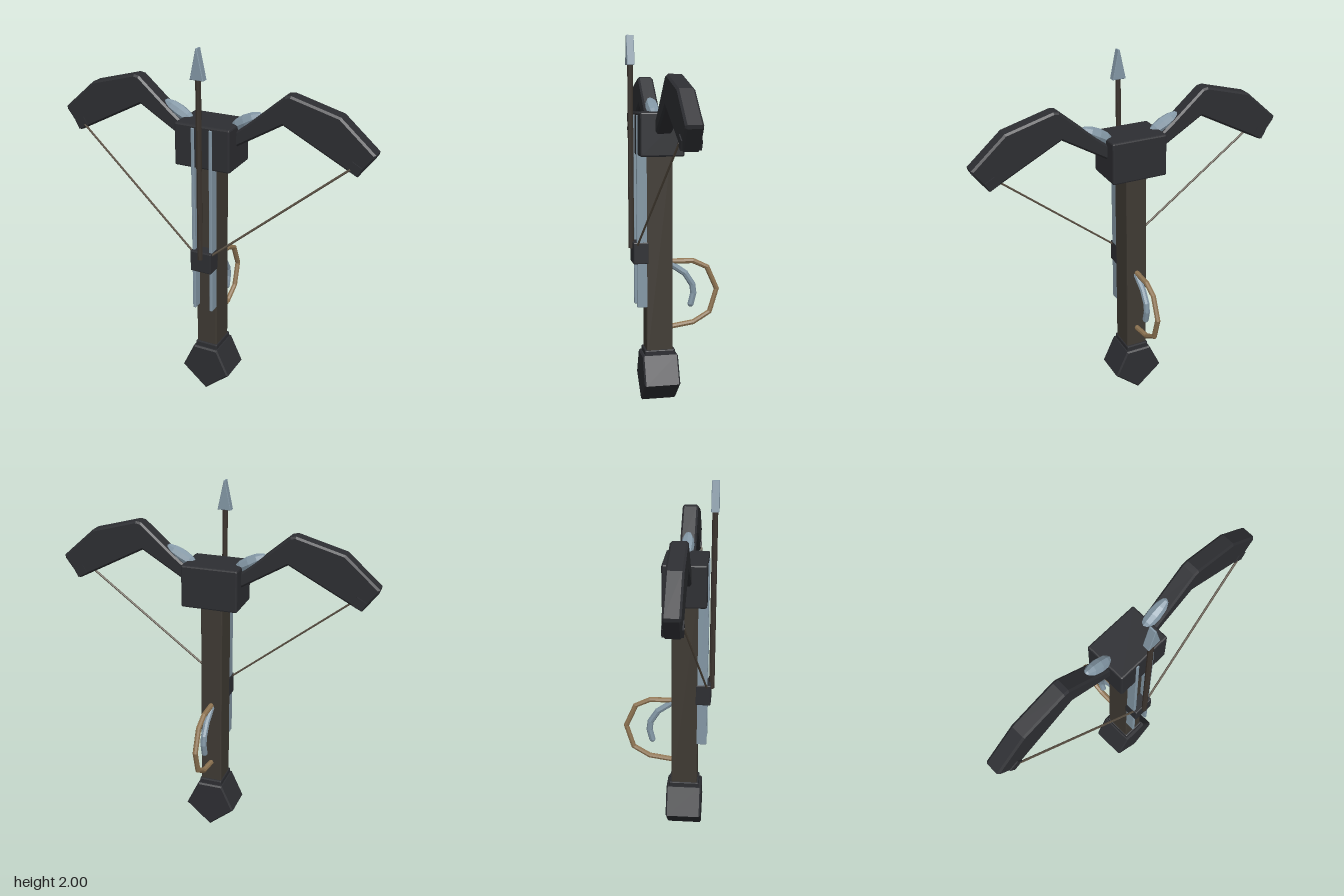
import * as THREE from 'three';
import { RoundedBoxGeometry } from 'three/addons/geometries/RoundedBoxGeometry.js';

const mat = (color) => new THREE.MeshStandardMaterial({ color, flatShading: true });

// Curve with straight segments, sampled exactly at its corner points
class Polyline extends THREE.Curve {
  constructor(points) {
    super();
    this.points = points;
  }
  getPoint(t, target = new THREE.Vector3()) {
    const f = t * (this.points.length - 1);
    const i = Math.min(Math.floor(f), this.points.length - 2);
    return target.lerpVectors(this.points[i], this.points[i + 1], f - i);
  }
  getPointAt(u, target) { return this.getPoint(u, target); }
  getTangentAt(u, target) { return this.getTangent(u, target); }
}

export function createModel() {
  const group = new THREE.Group();
  const dark = mat(0x2d2e32);
  const wood = mat(0x3f3a33);
  const metal = mat(0x8397a5);
  const tan = mat(0x8f7553);
  const cord = mat(0x5c5245);
  const shaftWood = mat(0x3b342e);

  const add = (name, geometry, material, x = 0, y = 0, z = 0) => {
    const mesh = new THREE.Mesh(geometry, material);
    mesh.name = name;
    mesh.position.set(x, y, z);
    group.add(mesh);
    return mesh;
  };

  // Box given by its width and its y and z ranges, with a small bevel
  const block = (name, material, w, y0, y1, z0, z1, x = 0, bevel = 0.006) =>
    add(name, new RoundedBoxGeometry(w, y1 - y0, z1 - z0, 1, bevel), material,
      x, (y0 + y1) / 2, (z0 + z1) / 2);

  // Bevelled outline spanning z0..z1; the bevel stays inside the outline
  const slab = (points, z0, z1, bevel) => {
    const shape = new THREE.Shape(points.map(([x, y]) => new THREE.Vector2(x, y)));
    const g = new THREE.ExtrudeGeometry(shape, {
      depth: z1 - z0 - 2 * bevel, bevelEnabled: true, bevelSegments: 1,
      bevelSize: bevel, bevelThickness: bevel, bevelOffset: -bevel,
    });
    return g.translate(0, 0, z0 + bevel);
  };

  // Round bar through [z, y] points in the middle plane, with closed ends
  const bar = (name, material, zy, radius) => {
    const pts = zy.map(([z, y]) => new THREE.Vector3(0, y, z));
    add(name, new THREE.TubeGeometry(new Polyline(pts), pts.length - 1, radius, 8), material);
    for (const p of [pts[0], pts[pts.length - 1]]) {
      add(name + 'End', new THREE.SphereGeometry(radius, 8, 6), material, p.x, p.y, p.z);
    }
  };

  // Straight rod between two points
  const rod = (name, material, a, b, radius) => {
    const from = new THREE.Vector3(...a);
    const dir = new THREE.Vector3(...b).sub(from);
    const mesh = add(name, new THREE.CylinderGeometry(radius, radius, dir.length(), 6), material);
    mesh.position.copy(from).addScaledVector(dir, 0.5);
    mesh.quaternion.setFromUnitVectors(new THREE.Vector3(0, 1, 0), dir.normalize());
  };

  // Stock, front block and string catch
  block('stock', wood, 0.12, 0.28, 1.42, 0.02, 0.165);
  block('frontBlock', dark, 0.31, 1.37, 1.6, -0.025, 0.21, 0, 0.009);
  block('stringCatch', dark, 0.122, 0.785, 0.905, 0.15, 0.235);

  // Pommel with its collar
  block('pommelCollar', dark, 0.13, 0.25, 0.303, 0.008, 0.175);
  add('pommel', slab([[0, 0.003], [0.142, 0.125], [0.072, 0.275], [-0.072, 0.275], [-0.142, 0.125]],
    -0.007, 0.19, 0.008), dark);

  // Bow limbs, rails, string and spikes, mirrored left and right
  const limb = [
    [0.1, 1.455], [0.155, 1.49], [0.4, 1.637], [0.77, 1.445], [0.79, 1.437], [0.868, 1.542],
    [0.872, 1.56], [0.69, 1.72], [0.435, 1.79], [0.405, 1.785], [0.215, 1.62], [0.1, 1.53],
  ];
  for (const side of [1, -1]) {
    const outline = limb.map(([x, y]) => [x * side, y]);
    add('limb', slab(outline, 0.043, 0.13, 0.01), dark);

    const clip = add('stringClip', new THREE.BoxGeometry(0.06, 0.05, 0.1), dark,
      side * 0.775, 1.48, 0.086);
    clip.rotation.z = side * -0.5;
    rod('bowString', cord, [side * 0.755, 1.475, 0.133], [side * 0.05, 0.885, 0.213], 0.006);

    block('rail', metal, 0.018, 0.545, 1.585, 0.14, 0.216, side * 0.05, 0.004);

    const spike = add('limbSpike', new THREE.SphereGeometry(1, 8, 6), metal,
      side * 0.19, 1.617, 0.086);
    spike.geometry.rotateZ(Math.PI / 2);
    spike.scale.set(0.1, 0.037, 0.037);
    spike.rotation.z = side * 0.5;
  }

  // Bolt resting on the rails
  add('boltShaft', new THREE.CylinderGeometry(0.015, 0.015, 0.99, 8), shaftWood, 0, 1.362, 0.238);
  add('boltHead', slab([[-0.037, 1.845], [0.037, 1.845], [0.004, 2], [-0.004, 2]],
    0.218, 0.259, 0.003), metal);

  // Trigger and its guard
  bar('triggerGuard', tan, [[0.015, 0.785], [-0.105, 0.783], [-0.185, 0.745], [-0.24, 0.62],
    [-0.2, 0.49], [-0.108, 0.435], [0.015, 0.417]], 0.015);
  bar('trigger', metal, [[0.02, 0.77], [-0.06, 0.715], [-0.102, 0.65], [-0.108, 0.6],
    [-0.093, 0.54]], 0.018);

  return group;
}
